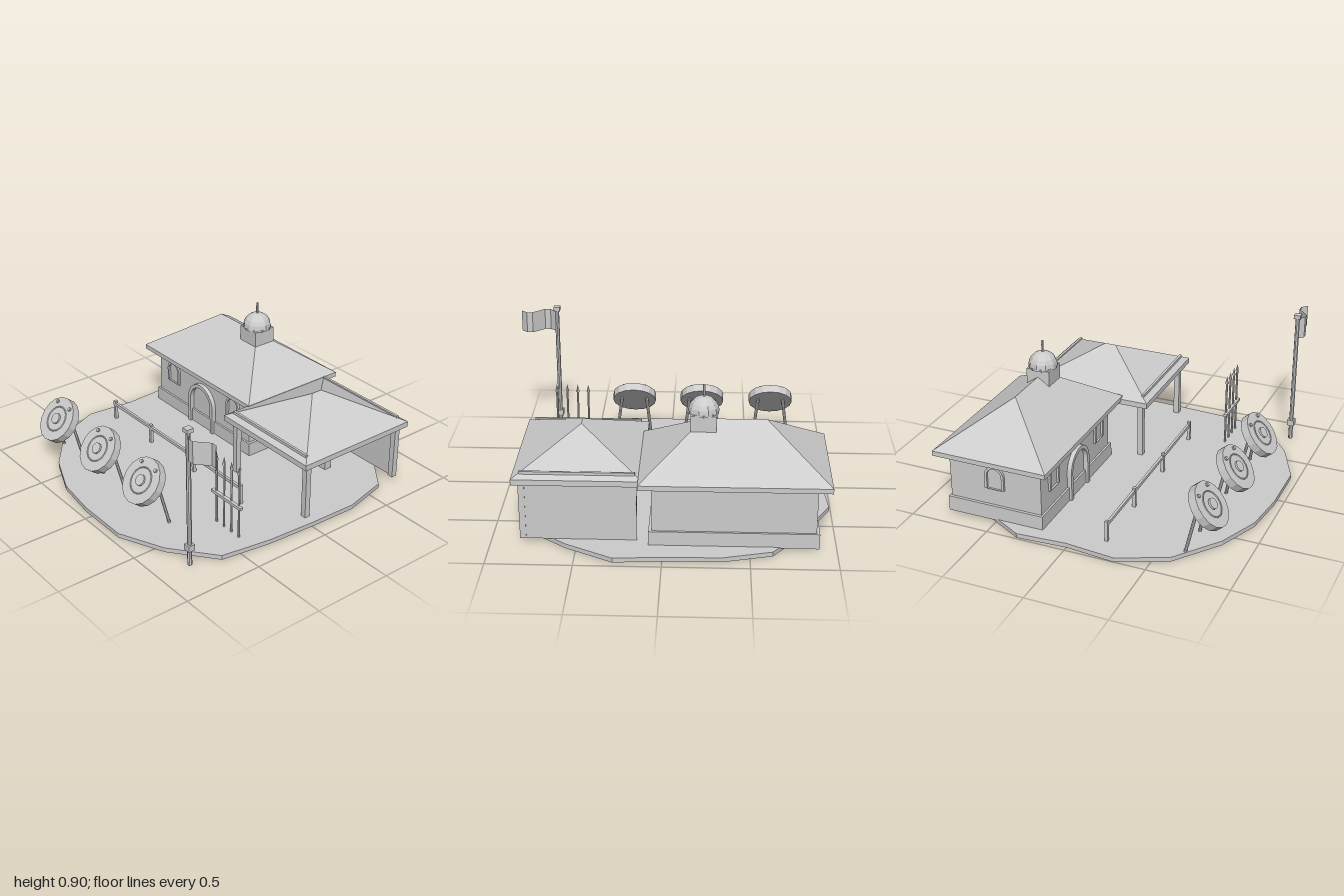
import * as THREE from 'three';

export function createModel() {
  const model = new THREE.Group();
  const stone = new THREE.MeshStandardMaterial({ color: 0xcccccc, flatShading: true, side: THREE.DoubleSide });
  stone.name = 'pale grey';

  const add = (name, geo, x = 0, y = 0, z = 0, parent = model) => {
    const m = new THREE.Mesh(geo, stone);
    m.name = name;
    m.position.set(x, y, z);
    parent.add(m);
    return m;
  };
  // Box given by its limits on each axis
  const box = (name, x0, x1, y0, y1, z0, z1) =>
    add(name, new THREE.BoxGeometry(x1 - x0, y1 - y0, z1 - z0), (x0 + x1) / 2, (y0 + y1) / 2, (z0 + z1) / 2);
  // Round bar between two points
  const rod = (name, a, b, r, sides = 8) => {
    const p = new THREE.Vector3(...a), q = new THREE.Vector3(...b);
    const m = add(name, new THREE.CylinderGeometry(r, r, p.distanceTo(q), sides));
    m.position.copy(p).lerp(q, 0.5);
    m.quaternion.setFromUnitVectors(new THREE.Vector3(0, 1, 0), q.sub(p).normalize());
    return m;
  };
  // Hipped roof with its ridge along x
  const hip = (w, d, h, ridge) => {
    const A = [-w / 2, 0, d / 2], B = [w / 2, 0, d / 2], C = [w / 2, 0, -d / 2], D = [-w / 2, 0, -d / 2];
    const P = [-ridge / 2, h, 0], Q = [ridge / 2, h, 0];
    const tris = [A, B, Q, A, Q, P, B, C, Q, C, D, P, C, P, Q, D, A, P];
    const g = new THREE.BufferGeometry();
    g.setAttribute('position', new THREE.Float32BufferAttribute(tris.flat(), 3));
    g.computeVertexNormals();
    return g;
  };
  // Round-headed outline, and a frame of that form facing +z
  const archPath = (p, r, h) => {
    p.moveTo(-r, 0);
    p.lineTo(r, 0);
    p.lineTo(r, h - r);
    p.absarc(0, h - r, r, 0, Math.PI, false);
    p.lineTo(-r, 0);
    return p;
  };
  const archFrame = (name, r, h, t, depth, x, y, z, turn = 0) => {
    const s = archPath(new THREE.Shape(), r, h);
    s.holes.push(archPath(new THREE.Path(), r - t, h - t));
    const m = add(name, new THREE.ExtrudeGeometry(s, { depth, bevelEnabled: false, curveSegments: 8 }), x, y, z);
    m.rotation.y = turn;
  };

  // Ground slab
  const outline = [[-1, 0.31], [-0.87, 0.6], [-0.6, 0.81], [-0.34, 0.92], [-0.06, 0.955], [0.28, 0.955],
    [0.56, 0.83], [0.82, 0.62], [0.87, 0.31], [0.89, 0], [0.9, -0.31], [0.83, -0.6], [0.56, -0.81],
    [0.28, -0.96], [0, -0.94], [-0.34, -0.935], [-0.63, -0.86], [-0.83, -0.6], [-0.99, -0.31], [-0.97, 0]];
  const ground = new THREE.Shape(outline.map(([x, z]) => new THREE.Vector2(x, -z)));
  add('ground', new THREE.ExtrudeGeometry(ground, { depth: 0.028, bevelEnabled: false })).rotation.x = -Math.PI / 2;

  // Hall
  const hx = -0.4075, hz = -0.495;
  box('hallPlinth', hx - 0.49, hx + 0.49, 0.02, 0.115, hz - 0.31, hz + 0.31);
  box('hallWalls', hx - 0.472, hx + 0.472, 0.1, 0.405, hz - 0.297, hz + 0.297);
  box('hallEaves', hx - 0.5475, hx + 0.5475, 0.405, 0.435, hz - 0.365, hz + 0.365);
  add('hallRoof', hip(1.095, 0.73, 0.255, 0.365), hx, 0.435, hz);
  archFrame('doorFrame', 0.128, 0.305, 0.025, 0.03, hx, 0.028, hz + 0.295);
  for (const s of [-1, 1]) {
    archFrame('frontWindow', 0.063, 0.15, 0.016, 0.015, hx + s * 0.313, 0.225, hz + 0.295);
    archFrame('sideWindow', 0.063, 0.15, 0.016, 0.015, hx + s * 0.471, 0.225, hz, s * Math.PI / 2);
  }

  // Cupola
  const cx = -0.225;
  box('cupolaBase', cx - 0.075, cx + 0.075, 0.56, 0.735, hz - 0.075, hz + 0.075);
  add('cupolaDome', new THREE.SphereGeometry(0.09, 10, 5, 0, Math.PI * 2, 0, Math.PI / 2), cx, 0.742, hz);
  add('cupolaRim', new THREE.CylinderGeometry(0.09, 0.09, 0.012, 10), cx, 0.737, hz);
  rod('cupolaSpire', [cx, 0.82, hz], [cx, 0.9, hz], 0.008, 6);

  // Pavilion
  box('pavilionEaves', 0.115, 0.865, 0.385, 0.42, -0.78, 0.045);
  add('pavilionRoof', hip(0.825, 0.75, 0.185, 0.07), 0.49, 0.42, -0.3675).rotation.y = Math.PI / 2;
  for (const z of [-0.735, 0]) box('roofTrim', 0.16, 0.82, 0.437, 0.455, z - 0.008, z + 0.008);
  box('pavilionBackWall', 0.15, 0.82, 0.028, 0.385, -0.75, -0.73);
  for (const x of [0.17, 0.81])
    for (const z of [-0.735, -0.015]) box('pavilionPost', x - 0.018, x + 0.018, 0.028, 0.385, z - 0.018, z + 0.018);
  box('pedestal', 0.455, 0.505, 0.028, 0.18, -0.5, -0.45);
  rod('pedestalRod', [0.48, 0.17, -0.475], [0.48, 0.27, -0.475], 0.005, 6);

  // Fence
  box('fenceRail', -0.855, 0.48, 0.125, 0.145, 0.192, 0.208);
  for (const x of [-0.85, -0.445, 0.01, 0.47]) box('fencePost', x - 0.01, x + 0.01, 0.028, 0.158, 0.19, 0.21);

  // Spear rack
  box('rackRail', 0.5, 0.765, 0.225, 0.243, 0.425, 0.447);
  for (let i = 0; i < 4; i++) {
    const x = 0.532 + i * 0.068;
    rod('spearShaft', [x, 0.028, 0.43], [x, 0.46, 0.43], 0.007, 6);
    add('spearHead', new THREE.ConeGeometry(0.012, 0.05, 6), x, 0.475, 0.43);
  }

  // Tilted round targets on two legs
  for (const x of [-0.665, -0.205, 0.25]) {
    const target = new THREE.Group();
    target.name = 'target';
    target.position.set(x, 0.285, 0.745);
    target.rotation.x = Math.atan2(0.775, 0.634);
    model.add(target);
    add('targetDisc', new THREE.CylinderGeometry(0.144, 0.144, 0.052, 16), 0, 0, 0, target);
    const ring = add('targetRing', new THREE.TorusGeometry(0.08, 0.004, 4, 16), 0, 0.026, 0, target);
    ring.rotation.x = Math.PI / 2;
    add('targetBoss', new THREE.CylinderGeometry(0.034, 0.034, 0.016, 12), 0, 0.03, 0, target);
    for (const s of [-1, 1]) {
      add('targetPeg', new THREE.CylinderGeometry(0.011, 0.011, 0.016, 8), s * 0.068, 0.03, -0.095, target);
      rod('targetLeg', [x + s * 0.118, 0.028, 0.655], [x + s * 0.08, 0.31, 0.71], 0.01);
    }
  }

  // Flagpole
  const px = 0.765, pz = 0.805;
  rod('flagPole', [px, 0.02, pz], [px, 0.88, pz], 0.014);
  box('poleCap', px - 0.021, px + 0.021, 0.875, 0.9, pz - 0.021, pz + 0.021);
  box('poleCollar', px - 0.022, px + 0.022, 0.12, 0.158, pz - 0.022, pz + 0.022);
  const flag = new THREE.PlaneGeometry(0.225, 0.14, 6, 1);
  const pos = flag.attributes.position;
  for (let i = 0; i < pos.count; i++)
    pos.setZ(i, 0.04 * Math.sin((pos.getX(i) / 0.225 + 0.5) * Math.PI * 2));
  flag.computeVertexNormals();
  add('flag', flag, 0.8875, 0.8, pz);

  return model;
}
